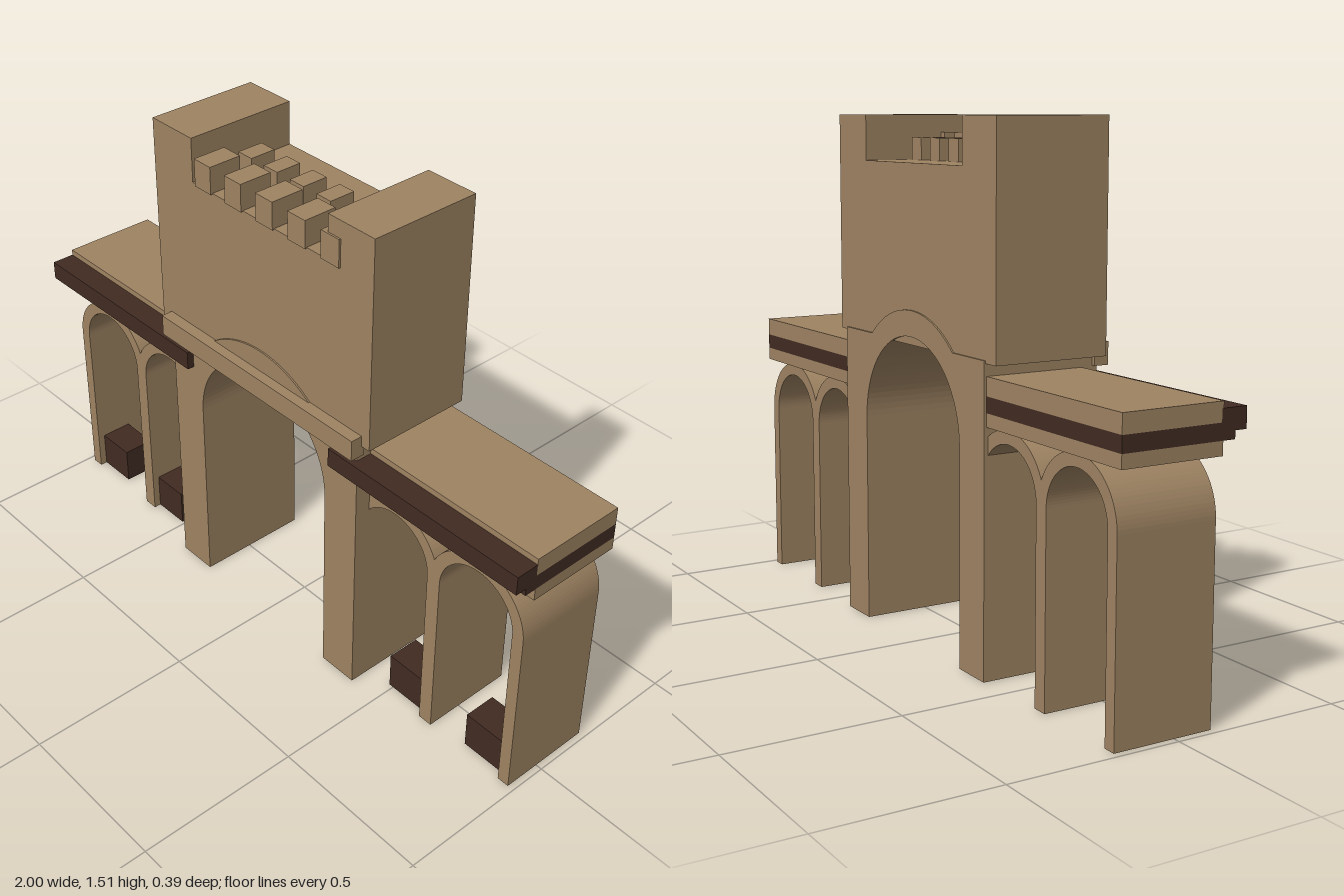
import * as THREE from 'three';

const stone = new THREE.MeshStandardMaterial({ color: 0x9e8362 });
stone.name = 'tan stone';
const wood = new THREE.MeshStandardMaterial({ color: 0x412b22 });
wood.name = 'dark wood';

// Box given by its limits on each axis
function block(parent, name, material, [x0, x1], [y0, y1], [z0, z1]) {
  const mesh = new THREE.Mesh(new THREE.BoxGeometry(x1 - x0, y1 - y0, z1 - z0), material);
  mesh.position.set((x0 + x1) / 2, (y0 + y1) / 2, (z0 + z1) / 2);
  mesh.name = name;
  parent.add(mesh);
}

// Upright shape pushed out between two depths
function extruded(parent, name, shape, z0, z1) {
  const geometry = new THREE.ExtrudeGeometry(shape, { depth: z1 - z0, bevelEnabled: false, curveSegments: 24 });
  geometry.translate(0, 0, z0);
  const mesh = new THREE.Mesh(geometry, stone);
  mesh.name = name;
  parent.add(mesh);
}

// Slim round-topped arch on two legs
function archShape(cx, spring, inner, outer) {
  const s = new THREE.Shape();
  s.moveTo(cx + inner, 0);
  s.lineTo(cx + outer, 0);
  s.lineTo(cx + outer, spring);
  s.absarc(cx, spring, outer, 0, Math.PI, false);
  s.lineTo(cx - outer, 0);
  s.lineTo(cx - inner, 0);
  s.lineTo(cx - inner, spring);
  s.absarc(cx, spring, inner, Math.PI, 0, true);
  s.lineTo(cx + inner, 0);
  return s;
}

// Main gate: two pillars, round opening, shoulders and a curved crown
function gateShape() {
  const spring = 0.624, inner = 0.272, outer = 0.347, shoulder = 0.88, half = 0.4;
  const a = Math.asin((shoulder - spring) / outer);
  const s = new THREE.Shape();
  s.moveTo(inner, 0);
  s.lineTo(half, 0);
  s.lineTo(half, shoulder);
  s.absarc(0, spring, outer, a, Math.PI - a, false);
  s.lineTo(-half, shoulder);
  s.lineTo(-half, 0);
  s.lineTo(-inner, 0);
  s.lineTo(-inner, spring);
  s.absarc(0, spring, inner, Math.PI, 0, true);
  s.lineTo(inner, 0);
  return s;
}

export function createModel() {
  const model = new THREE.Group();
  model.name = 'gatehouse';

  // Central gate and its front ledge
  extruded(model, 'gateArch', gateShape(), -0.195, 0.165);
  block(model, 'frontLedge', stone, [-0.41, 0.41], [0.84, 0.905], [0.15, 0.196]);

  // Upper wall with a raised turret at each end
  const tower = new THREE.Group();
  tower.name = 'tower';
  model.add(tower);
  const depth = [-0.19, 0.16];
  block(tower, 'upperWall', stone, [-0.28, 0.27], [0.872, 1.383], depth);
  block(tower, 'rightTurret', stone, [-0.45, -0.28], [0.872, 1.515], depth);
  block(tower, 'leftTurret', stone, [0.27, 0.44], [0.872, 1.515], depth);

  // Two rows of battlements
  for (let i = 0; i < 5; i++) {
    const front = -0.262 + i * 0.128, rear = -0.237 + i * 0.107;
    block(tower, 'frontMerlon', stone, [front, front + 0.068], [1.38, 1.463], [0.062, 0.166]);
    block(tower, 'rearMerlon', stone, [rear, rear + 0.055], [1.38, 1.449], [-0.05, 0.032]);
  }

  // Side walkways on small arches
  for (const side of [-1, 1]) {
    const wing = new THREE.Group();
    wing.name = side < 0 ? 'rightWing' : 'leftWing';
    model.add(wing);
    const span = (a, b) => (side < 0 ? [-b, -a] : [a, b]);
    block(wing, 'deck', stone, span(0.33, 1), [0.785, 0.838], [-0.187, 0.115]);
    block(wing, 'deckBand', wood, span(0.33, 1), [0.74, 0.785], [-0.187, 0.152]);
    block(wing, 'deckBase', stone, span(0.33, 1), [0.702, 0.74], [-0.187, 0.115]);
    block(wing, 'frontBeam', wood, span(0.308, 1), [0.762, 0.82], [0.11, 0.187]);
    for (const cx of [0.81, 0.5]) {
      extruded(wing, 'sideArch', archShape(side * cx, 0.54, 0.132, 0.17), -0.182, 0.115);
    }
  }

  // Crates standing under the side arches
  for (const [x0, x1] of [[-0.942, -0.812], [-0.632, -0.51], [0.485, 0.625], [0.793, 0.932]]) {
    block(model, 'crate', wood, [x0, x1], [0, 0.116], [-0.01, 0.092]);
  }

  return model;
}
